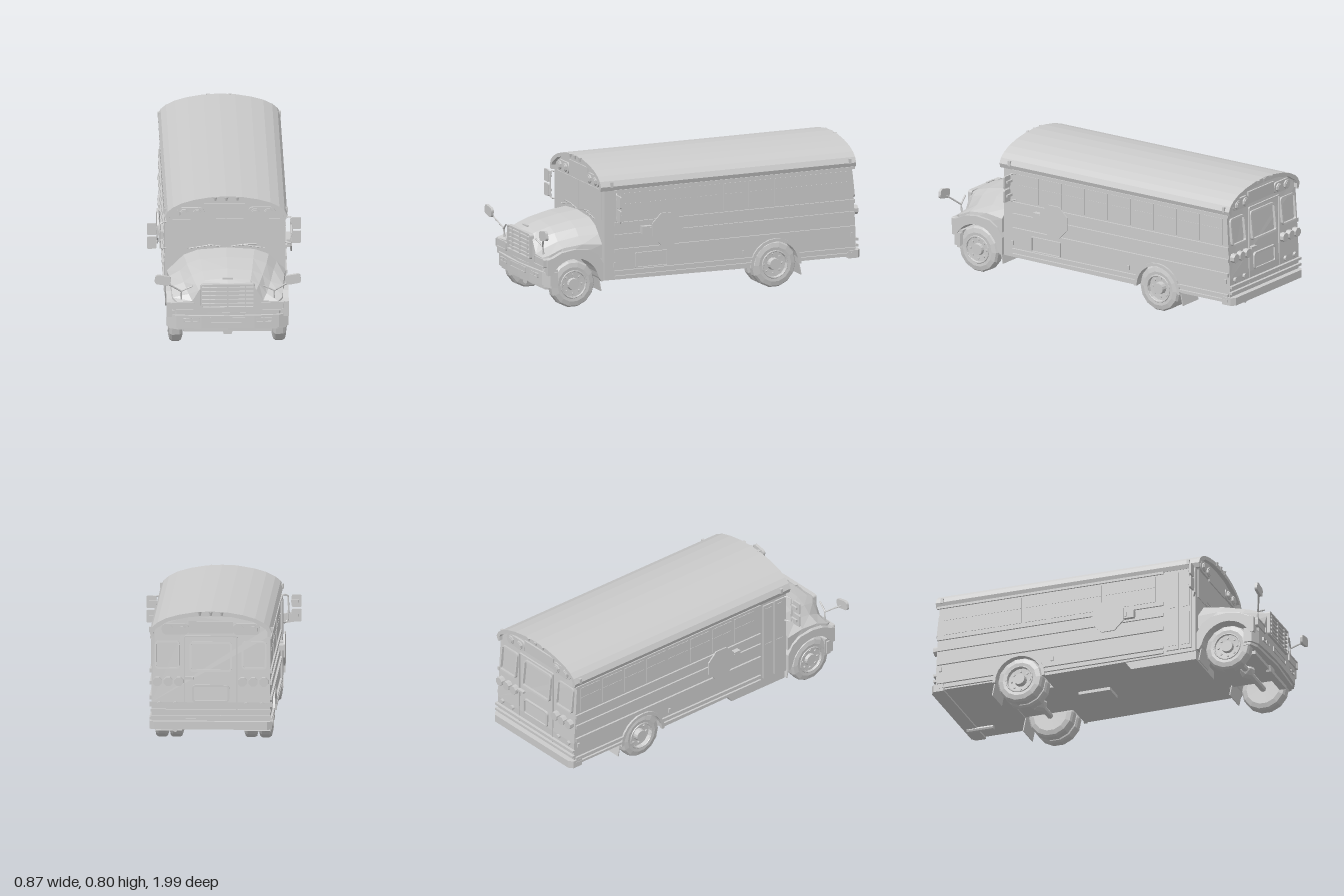
import * as THREE from 'three';

const grey = new THREE.MeshStandardMaterial({ color: 0xcccccc, flatShading: true, side: THREE.DoubleSide });
const BUS_X = 0.01; // body axis sits slightly off centre because the mirrors differ
const WHEEL = { front: 0.78, rear: -0.47, r: 0.135 };

export function createModel() {
  const root = new THREE.Group();
  root.name = 'schoolBus';
  const bus = new THREE.Group();
  bus.name = 'bus';
  bus.position.x = BUS_X;
  root.add(bus);

  // ---- helpers ----
  const add = (name, geo, x = 0, y = 0, z = 0, parent = bus) => {
    const m = new THREE.Mesh(geo, grey);
    m.name = name;
    m.position.set(x, y, z);
    parent.add(m);
    return m;
  };
  const box = (name, w, h, d, x, y, z, parent) => add(name, new THREE.BoxGeometry(w, h, d), x, y, z, parent);
  const shapeOf = pts => new THREE.Shape(pts.map(p => new THREE.Vector2(p[0], p[1])));
  const extrude = (shape, depth) => new THREE.ExtrudeGeometry(shape, { depth, bevelEnabled: false, curveSegments: 6 });
  // side profile (z, y) swept from x0 to x1
  const acrossX = (shape, x0, x1) => extrude(shape, x1 - x0).rotateY(-Math.PI / 2).translate(x1, 0, 0);
  // plan (x, z) swept from y0 to y1
  const upY = (shape, y0, y1) => extrude(shape, y1 - y0).rotateX(Math.PI / 2).translate(0, y1, 0);
  const mirrorHalf = half => [...half, ...half.filter(p => p[0] > 0).reverse().map(p => [-p[0], p[1]])];
  const rod = (name, pts, r = 0.004) => add(name, new THREE.TubeGeometry(
    new THREE.CatmullRomCurve3(pts.map(p => new THREE.Vector3(...p)), false, 'catmullrom', 0.1), pts.length * 3, r, 6));
  const roundRect = (w, h, r) => {
    const s = new THREE.Shape(), a = w / 2 - r, b = h / 2 - r;
    s.absarc(a, b, r, 0, Math.PI / 2);
    s.absarc(-a, b, r, Math.PI / 2, Math.PI);
    s.absarc(-a, -b, r, Math.PI, Math.PI * 1.5);
    s.absarc(a, -b, r, Math.PI * 1.5, Math.PI * 2);
    return s;
  };
  const frame = (name, w, h, r, t, depth, x, y, z) => {
    const s = roundRect(w, h, r);
    s.holes.push(roundRect(w - 2 * t, h - 2 * t, Math.max(r - t, 0.002)));
    return add(name, extrude(s, depth), x, y, z - depth / 2);
  };
  const lamp = (name, r, depth, x, y, z) =>
    add(name, new THREE.CylinderGeometry(r, r, depth, 8).rotateX(Math.PI / 2).rotateZ(Math.PI / 8), x, y, z);
  const rearZ = y => y > 0.46 ? -0.968 + (y - 0.46) * 0.11 : -0.968;

  // ---- cabin: upper body, skirt with rear wheel arch, roof shell ----
  const inner = mirrorHalf([[0.335, 0.28], [0.335, 0.66], [0.315, 0.7], [0.24, 0.745], [0.12, 0.772], [0, 0.777]]);
  const cabin = extrude(shapeOf(inner), 1.56).translate(0, 0, -0.968);
  const cp = cabin.attributes.position;
  for (let i = 0; i < cp.count; i++) if (cp.getZ(i) < -0.9) cp.setZ(i, rearZ(cp.getY(i)));
  add('cabin', cabin);

  const skirt = shapeOf([[-0.968, 0.28], [-0.968, 0.14], [-0.62, 0.14]]);
  skirt.absarc(WHEEL.rear, 0.13, 0.146, Math.PI, 0, true);
  [[0.592, 0.14], [0.592, 0.28]].forEach(p => skirt.lineTo(...p));
  add('skirt', acrossX(skirt, -0.335, 0.335));
  box('floorTunnel', 0.32, 0.15, 0.3, 0, 0.21, WHEEL.rear);

  const outer = [[0.337, 0.655], [0.345, 0.68], [0.33, 0.71], [0.3, 0.735], [0.25, 0.76], [0.18, 0.78], [0.09, 0.795], [0, 0.8]];
  const under = [[0.32, 0.655], [0.322, 0.68], [0.31, 0.7], [0.24, 0.742], [0.12, 0.768], [0, 0.773]];
  const roofShape = shapeOf([...mirrorHalf(outer), ...mirrorHalf(under).reverse()]);
  add('roof', extrude(roofShape, 1.585).translate(0, 0, -0.968));

  // ---- side rails, windows and small markers ----
  for (const s of [1, -1]) {
    const z0 = s > 0 ? 0.53 : 0.4;
    for (const [y, h, t] of [[0.65, 0.014, 0.01], [0.458, 0.022, 0.012], [0.39, 0.02, 0.012], [0.305, 0.022, 0.015]])
      box('sideRail', t, h, z0 + 0.96, s * 0.339, y, (z0 - 0.96) / 2);
    for (const [a, b] of [[z0, -0.33], [-0.61, -0.96]])
      for (const y of [0.185, 0.155]) box('skirtRail', 0.016, 0.014, a - b, s * 0.339, y, (a + b) / 2);
    const n = s > 0 ? 9 : 8, start = s > 0 ? 0.5 : 0.36, pitch = (start + 0.93) / n;
    for (let i = 0; i < n; i++) {
      const z = start - pitch * (i + 0.5);
      box('sideWindow', 0.006, 0.155, pitch - 0.02, s * 0.335, 0.556, z);
      box('windowSash', 0.01, 0.006, pitch - 0.02, s * 0.335, 0.57, z);
    }
    for (const z of [0.53, -0.27, -0.94]) box('sideMarker', 0.012, 0.026, 0.014, s * 0.339, z < -0.9 ? 0.265 : 0.225, z);
    for (const z of [0.55, -0.93]) box('topMarker', 0.014, 0.03, 0.015, s * 0.342, 0.69, z);
    const arch = new THREE.Shape();
    arch.absarc(0, 0, 0.158, 0, Math.PI, false);
    arch.absarc(0, 0, 0.14, Math.PI, 0, true);
    add('rearWheelArch', acrossX(arch, -0.01, 0.01), s * 0.337, 0.13, WHEEL.rear);
    // mud flaps
    for (const [z, y, h] of [[-0.625, 0.11, 0.1], [0.615, 0.12, 0.08]])
      box('mudFlap', 0.15, h, 0.006, s * 0.25, y, z).rotation.x = 0.2;
    // folding stop sign
    const z = s > 0 ? 0.22 : 0.08;
    add('stopSign', new THREE.CylinderGeometry(0.1, 0.1, 0.008, 8).rotateY(Math.PI / 8).rotateZ(Math.PI / 2), s * 0.375, 0.415, z);
    box('signArm', 0.03, 0.045, 0.06, s * 0.352, 0.415, z + 0.12);
    box('signHinge', 0.035, 0.03, 0.1, s * 0.353, 0.415, z + 0.06);
  }
  add('batteryDoor', frameX(0.2, 0.09), 0.339, 0.24, 0.3);
  function frameX(w, h) {
    const s = roundRect(w, h, 0.006);
    s.holes.push(roundRect(w - 0.012, h - 0.012, 0.003));
    return acrossX(s, -0.006, 0.006);
  }
  // entry door with two glazed leaves and a step well
  for (const z of [0.455, 0.535]) {
    box('doorLeaf', 0.014, 0.48, 0.072, -0.337, 0.4, z);
    for (const [y, h] of [[0.52, 0.2], [0.285, 0.2]]) box('doorGlass', 0.02, h, 0.045, -0.337, y, z);
  }
  add('stepWell', acrossX(shapeOf([[0.16, 0.145], [0.2, 0.09], [0.59, 0.09], [0.59, 0.145]]), -0.325, -0.03));

  // ---- front wall: windshield, sign panel, wipers ----
  for (const s of [1, -1]) {
    box('windshield', 0.3, 0.17, 0.008, s * 0.153, 0.57, 0.592);
    rod('wiper', [[s * 0.02, 0.49, 0.602], [s * 0.1, 0.503, 0.602], [s * 0.17, 0.505, 0.602]], 0.003);
    rod('wiperArm', [[s * 0.22, 0.48, 0.602], [s * 0.09, 0.5, 0.602]], 0.003);
  }
  box('signPanel', 0.25, 0.09, 0.01, 0, 0.705, 0.594);
  box('rearSignPanel', 0.25, 0.07, 0.012, 0, 0.705, rearZ(0.705));

  // ---- warning lamps and clearance lamps at both ends ----
  for (const [end, z, out] of [['front', 0.595, 1], ['rear', rearZ(0.695), -1]]) {
    for (const s of [1, -1]) {
      add(end + 'LampPod', extrude(roundRect(0.155, 0.064, 0.03), 0.016), s * 0.2, 0.695, z - 0.008);
      for (const x of [0.163, 0.238]) {
        lamp('warningLamp', 0.026, 0.012, s * x, 0.695, z + out * 0.012);
        lamp('lampLens', 0.02, 0.012, s * x, 0.695, z + out * 0.016);
      }
    }
    for (const x of [-0.062, 0, 0.062])
      add('clearanceLamp', new THREE.CylinderGeometry(0.013, 0.006, 0.022, 6), x, 0.786, out > 0 ? 0.617 : -0.966);
  }

  // ---- rear wall ----
  const tilt = m => { m.rotation.x = 0.11; return m; };
  tilt(frame('rearDoorWindow', 0.24, 0.17, 0.02, 0.012, 0.016, 0, 0.54, rearZ(0.54)));
  frame('rearLowerWindow', 0.21, 0.1, 0.02, 0.01, 0.016, 0, 0.33, -0.968);
  frame('rearDoor', 0.3, 0.48, 0.01, 0.006, 0.01, 0, 0.42, -0.966);
  box('doorHandle', 0.05, 0.012, 0.02, 0.12, 0.42, -0.975);
  for (const s of [1, -1]) {
    tilt(frame('rearSideWindow', 0.14, 0.16, 0.02, 0.01, 0.016, s * 0.245, 0.55, rearZ(0.55)));
    for (const x of [0.18, 0.24, 0.3]) lamp('tailLamp', 0.027, 0.03, s * x, 0.4, -0.975);
    for (const x of [0.2, 0.29]) lamp('reflector', 0.014, 0.02, s * x, 0.27, -0.972);
  }
  for (const y of [0.235, 0.2]) box('rearRail', 0.68, 0.014, 0.02, 0, y, -0.975);
  add('rearBumper', upY(shapeOf([[-0.345, -0.92], [0.345, -0.92], [0.345, -0.98], [0.32, -1], [-0.32, -1], [-0.345, -0.98]]), 0.13, 0.175));
  add('exhaustPipe', new THREE.CylinderGeometry(0.014, 0.014, 0.16, 8).rotateX(Math.PI / 2), 0.2, 0.125, -0.9);

  // ---- hood lofted from cross-sections along z ----
  const sections = [
    [0.605, [[0.335, 0.27], [0.335, 0.35], [0.285, 0.4], [0.24, 0.445], [0.16, 0.475], [0, 0.487]]],
    [0.72, [[0.33, 0.31], [0.325, 0.36], [0.265, 0.395], [0.225, 0.435], [0.15, 0.463], [0, 0.474]]],
    [0.84, [[0.325, 0.3], [0.315, 0.345], [0.245, 0.37], [0.2, 0.41], [0.14, 0.438], [0, 0.45]]],
    [0.92, [[0.315, 0.23], [0.31, 0.31], [0.22, 0.33], [0.178, 0.385], [0.13, 0.412], [0, 0.425]]],
    [0.955, [[0.29, 0.22], [0.285, 0.295], [0.2, 0.3], [0.162, 0.365], [0.13, 0.395], [0, 0.405]]],
  ];
  const pos = [], idx = [];
  sections.forEach(([z, half]) => mirrorHalf([...half.slice(0, -1), half[5]]).forEach(([x, y]) => pos.push(x, y, z)));
  const n = 11, last = (sections.length - 1) * n;
  for (let j = 0; j < sections.length - 1; j++) for (let i = 0; i < n - 1; i++) {
    const a = j * n + i;
    idx.push(a, a + 1, a + n, a + 1, a + n + 1, a + n);
  }
  pos.push(0, 0.22, 0.955, 0, 0.27, 0.605);
  for (let i = 0; i < n - 1; i++) idx.push(sections.length * n, last + i, last + i + 1, sections.length * n + 1, i + 1, i);
  const hood = new THREE.BufferGeometry();
  hood.setAttribute('position', new THREE.Float32BufferAttribute(pos, 3));
  hood.setIndex(idx);
  hood.computeVertexNormals();
  add('hood', hood);
  box('engineBay', 0.4, 0.16, 0.36, 0, 0.22, 0.76);
  box('hoodOrnament', 0.06, 0.008, 0.014, 0, 0.425, 0.925);

  // ---- fenders, headlights, mirrors ----
  for (const s of [1, -1]) {
    const fender = shapeOf([[0.615, 0.14], [0.6, 0.14], [0.6, 0.24], [0.635, 0.295], [0.69, 0.328], [0.78, 0.337],
      [0.86, 0.325], [0.91, 0.3], [0.945, 0.29], [0.945, 0.2], [0.92, 0.2]]);
    fender.absarc(WHEEL.front, 0.135, 0.152, 0.44, Math.PI - 0.2, false);
    add('fender', s > 0 ? acrossX(fender, 0.2, 0.345) : acrossX(fender, -0.345, -0.2));
    frame('headlightBezel', 0.135, 0.05, 0.008, 0.007, 0.026, s * 0.255, 0.267, 0.95);
    box('headlight', 0.115, 0.034, 0.016, s * 0.255, 0.267, 0.95);
    box('turnSignal', 0.02, 0.045, 0.04, s * 0.334, 0.267, 0.925);
    rod('fenderMirrorArm', [[s * 0.262, 0.3, 0.935], [s * 0.262, 0.355, 0.94], [s * 0.15 + s * 0.05, 0.39, 0.955]], 0.005);
    rod('fenderMirrorStay', [[s * 0.262, 0.355, 0.94], [s * 0.32, 0.4, 0.965], [s * 0.365, 0.43, 0.98]], 0.005);
    const head = add('fenderMirror', extrude(roundRect(0.09, 0.055, 0.018), 0.016), s * 0.367, 0.44, 0.975);
    head.rotation.z = s * 0.17;
    // tall two-pane mirrors on a bracket
    const z = s > 0 ? 0.53 : 0.6, mx = s > 0 ? 0.397 : 0.42;
    for (const [y, h] of [[0.6, 0.07], [0.518, 0.072]]) {
      add('sideMirror', extrude(roundRect(0.055, h, 0.008), 0.01), s * mx, y, z - 0.005);
      box('mirrorClamp', 0.045, 0.014, 0.016, s * (mx - 0.01), y, z - 0.008);
    }
    rod('mirrorBracket', [[s * 0.33, 0.635, z - 0.02], [s * 0.37, 0.635, z], [s * 0.375, 0.56, z], [s * 0.37, 0.48, z], [s * 0.33, 0.48, z - 0.02]], 0.005);
  }

  // ---- grille ----
  frame('grilleFrame', 0.305, 0.145, 0.014, 0.008, 0.026, 0, 0.332, 0.958);
  for (let i = 1; i < 6; i++) box('grilleBar', 0.29, 0.007, 0.014, 0, 0.26 + i * 0.0242, 0.96);
  for (const x of [-0.1, 0, 0.1]) box('grillePost', 0.007, 0.135, 0.012, x, 0.332, 0.959);

  // ---- front bumper ----
  add('frontBumper', upY(shapeOf(mirrorHalf([[0.345, 0.885], [0.343, 0.93], [0.29, 0.957], [0.15, 0.97], [0, 0.973]])), 0.14, 0.215));
  add('bumperLip', upY(shapeOf(mirrorHalf([[0.335, 0.88], [0.333, 0.92], [0.28, 0.945], [0, 0.962]])), 0.125, 0.23));
  frame('plateFrame', 0.2, 0.034, 0.004, 0.005, 0.014, 0, 0.19, 0.97);
  for (const s of [1, -1]) for (const x of [0.18, 0.228])
    frame('bumperSlot', 0.044, 0.024, 0.003, 0.004, 0.016, s * x, 0.188, 0.963);
  box('crossMember', 0.5, 0.02, 0.04, 0, 0.112, 0.9);
  add('towBracket', extrude(shapeOf([[-0.035, 0.125], [-0.022, 0.09], [0.022, 0.09], [0.035, 0.125]]), 0.03), 0, 0, 0.9);

  // ---- wheels and axles ----
  const tyre = (dish) => new THREE.LatheGeometry([[0, -0.038], [0.1, -0.04], [0.126, -0.032], [0.135, -0.02], [0.135, 0.02], [0.126, 0.034],
    [0.1, 0.04], [0.08, 0.038], [0.076, 0.038 - dish], [0.036, 0.036 - dish], [0.032, 0.042], [0, 0.042]]
    .map(p => new THREE.Vector2(...p)), 14).rotateZ(-Math.PI / 2);
  for (const s of [1, -1]) for (const [end, z] of [['front', WHEEL.front], ['rear', WHEEL.rear]]) {
    const g = new THREE.Group();
    g.name = end + 'Wheel';
    g.position.set(s * 0.292, WHEEL.r, z);
    if (s < 0) g.rotation.y = Math.PI;
    bus.add(g);
    const dish = end === 'rear' ? 0.025 : 0.012;
    add('tyre', tyre(dish), 0, 0, 0, g);
    if (end === 'rear') add('innerTyre', tyre(0.02), -0.082, 0, 0, g);
    add('rimRing', new THREE.TorusGeometry(0.077, 0.005, 6, 20).rotateY(Math.PI / 2), 0.039, 0, 0, g);
    for (let i = 0; i < 8; i++) {
      const a = i * Math.PI / 4;
      add('lugNut', new THREE.CylinderGeometry(0.007, 0.007, 0.012, 6).rotateZ(Math.PI / 2), 0.04 - dish, 0.055 * Math.cos(a), 0.055 * Math.sin(a), g);
    }
  }
  for (const z of [WHEEL.front, WHEEL.rear]) {
    add('axle', new THREE.CylinderGeometry(0.018, 0.018, 0.52, 8).rotateZ(Math.PI / 2), 0, WHEEL.r - 0.01, z);
    add('differential', new THREE.OctahedronGeometry(0.045, 1), 0, WHEEL.r - 0.01, z);
  }
  box('muffler', 0.12, 0.035, 0.19, 0, 0.132, -0.12);
  return root;
}
